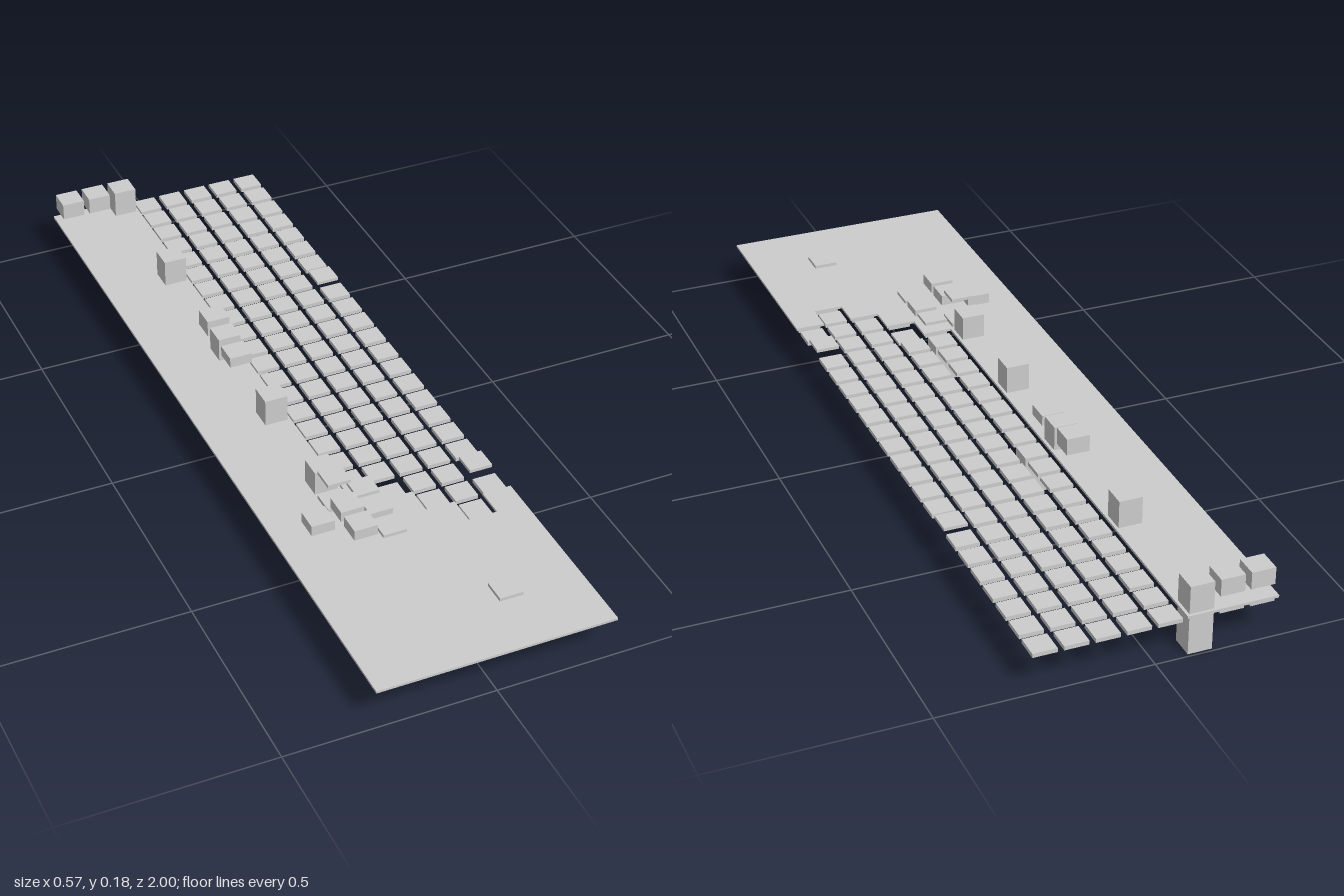
import * as THREE from 'three';

const CELL = 2 / 28, TILE = 0.057;
const grey = new THREE.MeshStandardMaterial({ color: 0xcccccc });
grey.name = 'light grey';

export function createModel() {
  const model = new THREE.Group();
  model.name = 'tiledPanel';

  // One square block on the 8 x 28 grid, from height y0 to y1
  const block = (name, col, row, y0, y1) => {
    const mesh = new THREE.Mesh(new THREE.BoxGeometry(TILE, y1 - y0, TILE), grey);
    mesh.name = name;
    mesh.position.set((col - 3.5) * CELL, (y0 + y1) / 2, (row - 13.5) * CELL);
    model.add(mesh);
  };

  // Stepped panel: the first row covered in each column
  const start = [0, 0, 0, 19, 20, 21, 22, 21];
  const shape = new THREE.Shape();
  shape.moveTo(-4 * CELL, -1);
  shape.lineTo(4 * CELL, -1);
  for (let c = 7; c >= 0; c--) {
    const y = 1 - start[c] * CELL;
    shape.lineTo((c - 3) * CELL, y);
    shape.lineTo((c - 4) * CELL, y);
  }
  const panel = new THREE.Mesh(
    new THREE.ExtrudeGeometry(shape, { depth: 0.006, bevelEnabled: false }), grey);
  panel.name = 'steppedPanel';
  panel.rotation.x = -Math.PI / 2;
  panel.position.y = 0.097;
  model.add(panel);

  // Tiles at the general level, with a few set higher or lower
  const moved = { '7,19': [0.103, 0.111], '7,7': [0.095, 0.103], '4,19': [0.079, 0.086] };
  const legs = [[2, 0], [3, 10], [3, 18]];
  for (let c = 0; c < 8; c++) {
    for (let r = 0; r < (c > 4 ? 27 : 26); r++) {
      if (legs.some(([lc, lr]) => lc === c && lr === r)) continue;
      const [y0, y1] = moved[`${c},${r}`] || [0.086, 0.096];
      block('tile', c, r, y0, y1);
    }
  }

  // Legs reaching the ground
  for (const [c, r] of legs) block('leg', c, r, 0, 0.096);

  // Tall blocks standing on the panel
  for (const [r, top] of [[0, 0.171], [5, 0.171], [10, 0.163], [14, 0.171], [18, 0.163]])
    block('standingBlock', 2, r, 0.103, top);

  // Floating blocks and thin plates: column, row, bottom, top
  const floating = [
    [0, 0, 0.129, 0.171], [1, 0, 0.129, 0.171],
    [2, 9, 0.129, 0.171], [2, 11, 0.129, 0.155],
    [2, 19, 0.172, 0.18], [2, 19, 0.103, 0.112],
    [2, 20, 0.129, 0.155], [2, 21, 0.129, 0.155],
    [1, 20, 0.112, 0.138],
    [3, 19, 0.12, 0.128], [3, 20, 0.112, 0.128], [3, 21, 0.112, 0.12],
    [5, 25, 0.103, 0.111],
  ];
  for (const f of floating) block('floatingBlock', ...f);

  return model;
}
